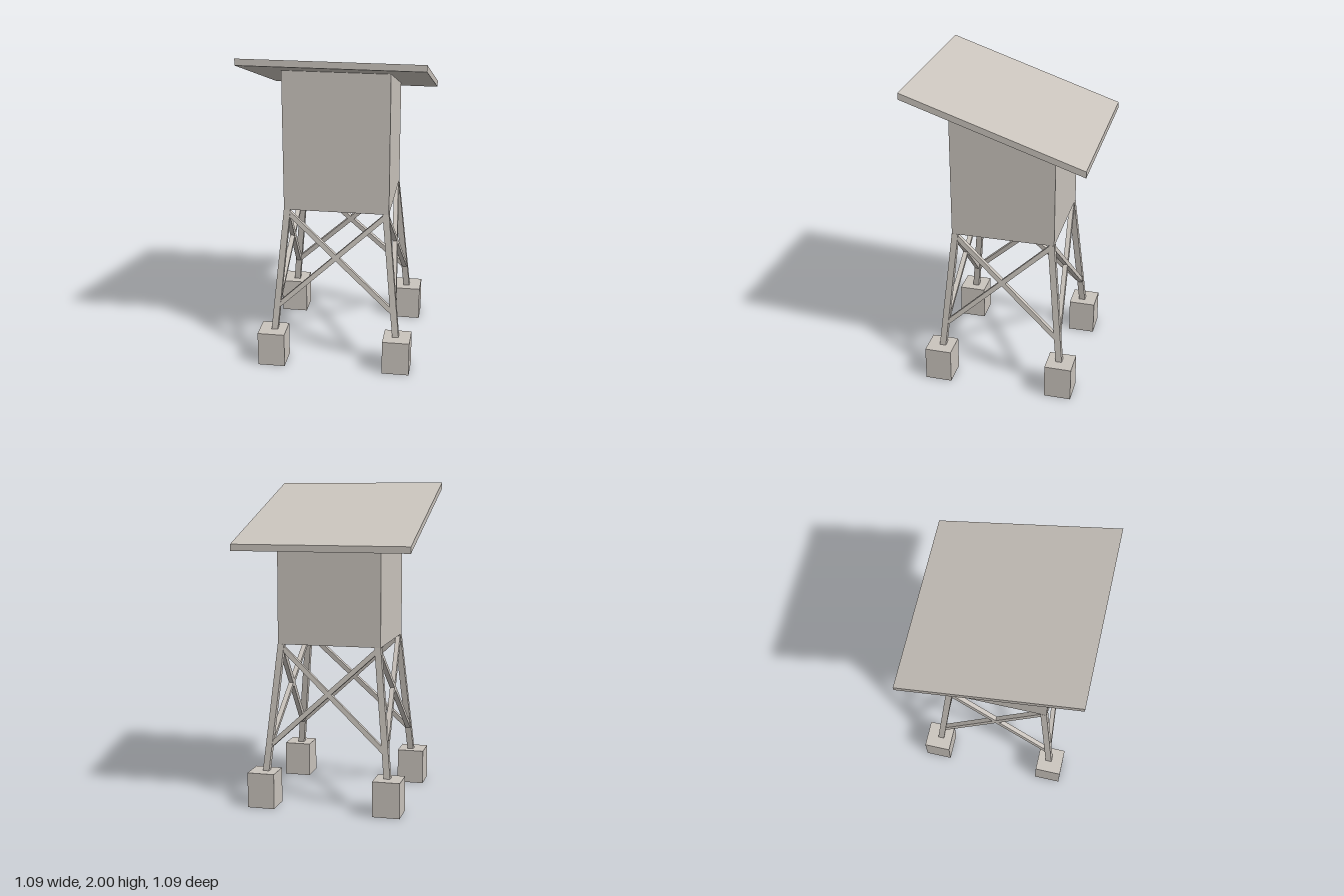
import * as THREE from 'three';

export function createModel() {
  const model = new THREE.Group();
  const concrete = new THREE.MeshStandardMaterial({ color: 0xcac4bd });
  concrete.name = 'warm grey';

  const add = (name, geometry) => {
    const mesh = new THREE.Mesh(geometry, concrete);
    mesh.name = name;
    model.add(mesh);
    return mesh;
  };

  // Box whose vertices are moved by a rule
  const shapedBox = (w, h, d, rule) => {
    const geometry = new THREE.BoxGeometry(w, h, d);
    const p = geometry.attributes.position;
    const v = new THREE.Vector3();
    for (let i = 0; i < p.count; i++) {
      v.fromBufferAttribute(p, i);
      rule(v);
      p.setXYZ(i, v.x, v.y, v.z);
    }
    geometry.computeVertexNormals();
    return geometry;
  };

  // Underside of the roof slopes down towards the back
  const roofUnderside = (z) => 1.7775 + 0.332 * z;
  // Distance of the leg centre line from the axis at height y
  const legOffset = (y) => 0.306 + (1.01 - y) * 0.1;

  // Sloping roof slab with upright edges
  add('roof', shapedBox(1.094, 0.04, 1.094, (v) => {
    v.y += 0.02 + roofUnderside(v.z);
  }));

  // Cabin, cut off at the top along the roof
  add('cabin', shapedBox(0.65, 1, 0.65, (v) => {
    v.y = v.y > 0 ? roofUnderside(v.z) : 1.01;
  }));

  // Splayed legs on footing blocks
  for (const sx of [-1, 1]) {
    for (const sz of [-1, 1]) {
      add('leg', shapedBox(0.04, 1, 0.04, (v) => {
        v.y = v.y > 0 ? 1.01 : 0.2;
        v.x += sx * legOffset(v.y);
        v.z += sz * legOffset(v.y);
      }));
      add('footing', new THREE.BoxGeometry(0.17, 0.22, 0.17))
        .position.set(sx * 0.395, 0.11, sz * 0.395);
    }
  }

  // Crossed braces on each of the four sides
  const high = 0.995, low = 0.37;
  for (let side = 0; side < 4; side++) {
    const frame = new THREE.Group();
    frame.name = 'crossBracing';
    frame.rotation.y = side * Math.PI / 2;
    for (const s of [-1, 1]) {
      const a = new THREE.Vector3(s * legOffset(high), high, legOffset(high));
      const b = new THREE.Vector3(-s * legOffset(low), low, legOffset(low));
      const brace = add('brace', new THREE.BoxGeometry(0.03, 0.03, a.distanceTo(b)));
      brace.position.addVectors(a, b).multiplyScalar(0.5);
      // Keep the flat face of the brace in the plane of the side
      brace.up.set(0, 0.1, 1);
      brace.lookAt(b);
      frame.add(brace);
    }
    model.add(frame);
  }

  return model;
}
